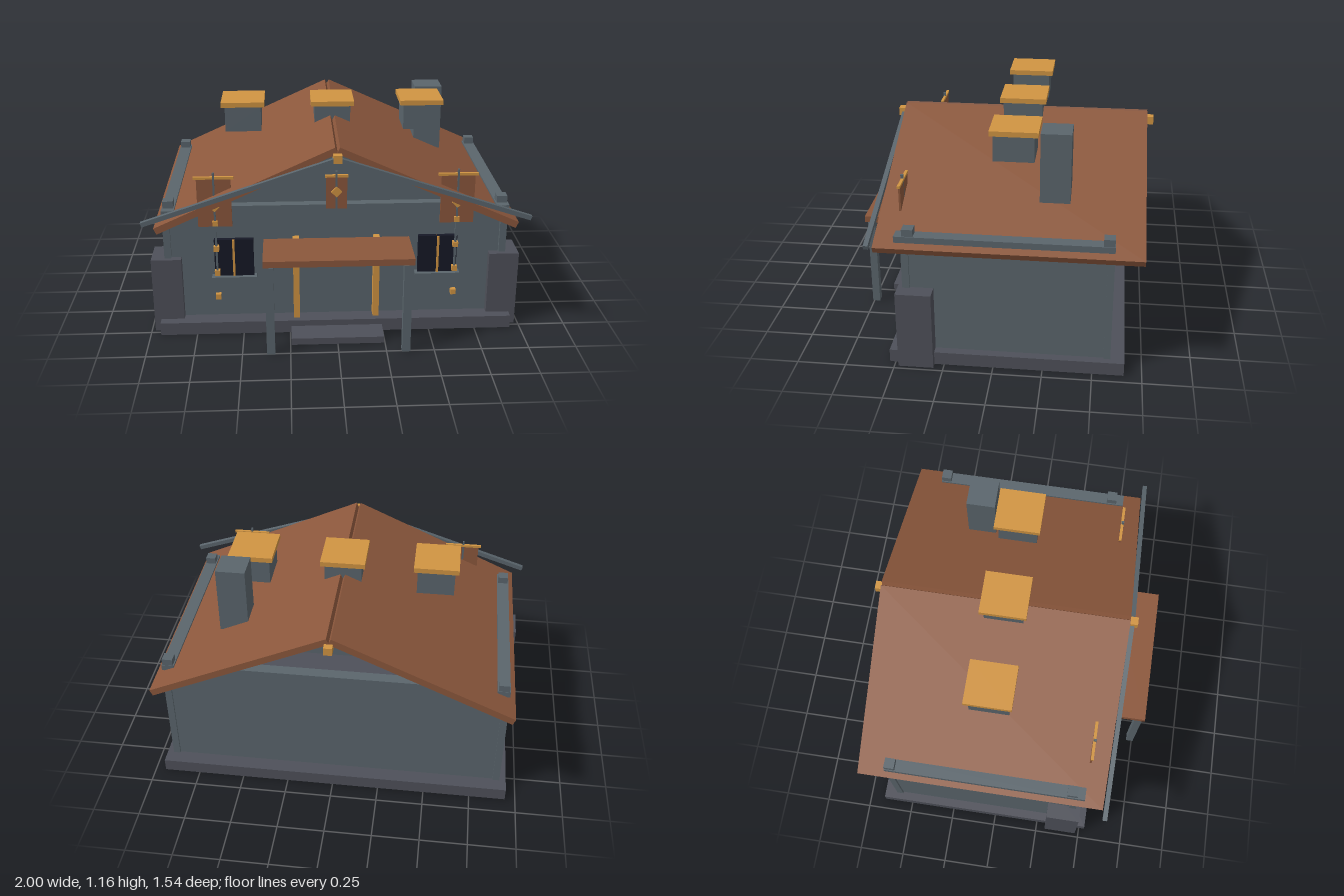
import * as THREE from 'three';

const mat = (color) => new THREE.MeshStandardMaterial({ color });

export function createModel() {
  const house = new THREE.Group();
  house.name = 'house';
  const slate = mat(0x5a656c), stone = mat(0x4e5059), tile = mat(0x8b573c);
  const timber = mat(0xd09442), glass = mat(0x161826);

  // Box given by its extents on each axis
  function box(name, material, [x0, x1], [y0, y1], [z0, z1], parent = house) {
    const m = new THREE.Mesh(new THREE.BoxGeometry(x1 - x0, y1 - y0, z1 - z0), material);
    m.position.set((x0 + x1) / 2, (y0 + y1) / 2, (z0 + z1) / 2);
    m.name = name;
    parent.add(m);
    return m;
  }
  // Same box on either side of the centre line
  function pair(name, material, [x0, x1], y, z) {
    box(name + 'Left', material, [x0, x1], y, z);
    box(name + 'Right', material, [-x1, -x0], y, z);
  }
  // Polygon in the xy plane, extruded along z
  function prism(name, material, points, z0, z1) {
    const shape = new THREE.Shape(points.map(([x, y]) => new THREE.Vector2(x, y)));
    const geo = new THREE.ExtrudeGeometry(shape, { depth: z1 - z0, bevelEnabled: false });
    const m = new THREE.Mesh(geo, material);
    m.position.z = z0;
    m.name = name;
    house.add(m);
  }
  // Sloping slab whose upper face runs from the ridge to the eave
  function slope(name, material, side, [x0, y0], [x1, y1], thick, z0, z1) {
    const length = Math.hypot(x1 - x0, y1 - y0), a = Math.atan2(y1 - y0, x1 - x0);
    const m = new THREE.Mesh(new THREE.BoxGeometry(length, thick, z1 - z0), material);
    m.position.set(side * ((x0 + x1) / 2 + Math.sin(a) * thick / 2),
      (y0 + y1) / 2 - Math.cos(a) * thick / 2, (z0 + z1) / 2);
    m.rotation.z = side * a;
    m.name = name;
    house.add(m);
  }

  // Foundation and entrance step
  box('foundation', stone, [-0.945, 0.945], [0, 0.07], [-0.66, 0.53]);
  box('entranceStep', stone, [-0.245, 0.245], [0, 0.037], [0.5, 0.665]);

  // Walls, open under the roof; the end walls follow the eaves at their corners
  const endWall = [[-0.9, 0.07], [0.9, 0.07], [0.9, 0.63], [0.72, 0.71], [-0.72, 0.71], [-0.9, 0.63]];
  prism('frontWall', slate, endWall, 0.39, 0.44);
  prism('backWall', slate, endWall, -0.58, -0.53);
  pair('sideWall', slate, [0.85, 0.9], [0.07, 0.64], [-0.53, 0.39]);
  pair('frontCornerPost', slate, [0.873, 0.91], [0.07, 0.64], [0.418, 0.455]);
  pair('backCornerPost', slate, [0.873, 0.91], [0.07, 0.64], [-0.59, -0.555]);
  box('frontWallPlate', slate, [-0.72, 0.72], [0.67, 0.71], [0.39, 0.45]);
  box('backWallPlate', slate, [-0.72, 0.72], [0.67, 0.71], [-0.59, -0.53]);
  prism('frontGable', slate, [[-0.71, 0.71], [0.71, 0.71], [0, 1.02]], 0.37, 0.4);
  pair('buttress', stone, [0.82, 0.98], [0, 0.42], [0.3, 0.48]);

  // Roof slabs, ridge beam and front rake boards
  for (const side of [1, -1]) {
    slope('roofSlab', tile, side, [0.012, 1.07], [0.937, 0.65], 0.036, -0.735, 0.59);
    slope('rakeBoard', slate, side, [0, 1.025], [0.998, 0.692], 0.024, 0.592, 0.616);
  }
  box('ridgeBeam', timber, [-0.022, 0.022], [0.998, 1.04], [-0.77, 0.632]);

  // Bars along the eaves with a block at each end
  pair('eaveBar', slate, [0.842, 0.908], [0.67, 0.703], [-0.59, 0.488]);
  pair('eaveBlockFront', slate, [0.848, 0.903], [0.7, 0.74], [0.392, 0.448]);
  pair('eaveBlockBack', slate, [0.848, 0.903], [0.7, 0.74], [-0.588, -0.533]);

  // Capped roof vents and the plain chimney
  for (const x of [-0.49, 0, 0.49]) {
    box('ventShaft', slate, [x - 0.098, x + 0.098], [0.985, 1.125], [-0.172, 0.038]);
    box('ventCap', timber, [x - 0.118, x + 0.118], [1.125, 1.152], [-0.193, 0.055]);
  }
  box('chimney', slate, [0.483, 0.637], [0.792, 1.16], [-0.358, -0.204]);

  // Doorway and canopy
  pair('doorJamb', timber, [0.197, 0.23], [0.07, 0.53], [0.4, 0.495]);
  box('canopyRoof', tile, [-0.383, 0.383], [0.503, 0.537], [0.49, 0.77]);
  pair('canopyPost', slate, [0.33, 0.373], [0, 0.495], [0.718, 0.758]);

  // Windows
  pair('windowPane', glass, [0.438, 0.645], [0.315, 0.525], [0.43, 0.465]);
  pair('windowMullion', timber, [0.537, 0.549], [0.315, 0.525], [0.44, 0.472]);
  pair('windowSill', slate, [0.423, 0.662], [0.303, 0.316], [0.43, 0.488]);

  // Hanging plaques: board, cap, thin rod and a diamond stud
  function plaque(name, x, halfWidth, capHalf, [y0, y1], rodBottom, studY) {
    const g = new THREE.Group();
    g.name = name;
    house.add(g);
    box('board', tile, [x - halfWidth, x + halfWidth], [y0, y1], [0.485, 0.495], g);
    box('cap', timber, [x - capHalf, x + capHalf], [y1 - 0.003, y1 + 0.01], [0.483, 0.498], g);
    box('rod', slate, [x - 0.005, x + 0.005], [rodBottom, 0.91], [0.485, 0.5], g);
    const stud = box('stud', timber, [x - 0.02, x + 0.02], [studY - 0.02, studY + 0.02], [0.48, 0.508], g);
    stud.rotation.z = Math.PI / 4;
    return g;
  }
  plaque('centrePlaque', 0, 0.055, 0.06, [0.705, 0.88], 0.585, 0.8);
  for (const x of [-0.63, 0.63]) {
    const g = plaque('sidePlaque', x, 0.088, 0.103, [0.615, 0.88], 0.35, 0.73);
    for (const y of [0.635, 0.49, 0.35, 0.21])
      box('bead', timber, [x - 0.014, x + 0.014], [y - 0.014, y + 0.014], [0.478, 0.506], g);
  }
  return house;
}
